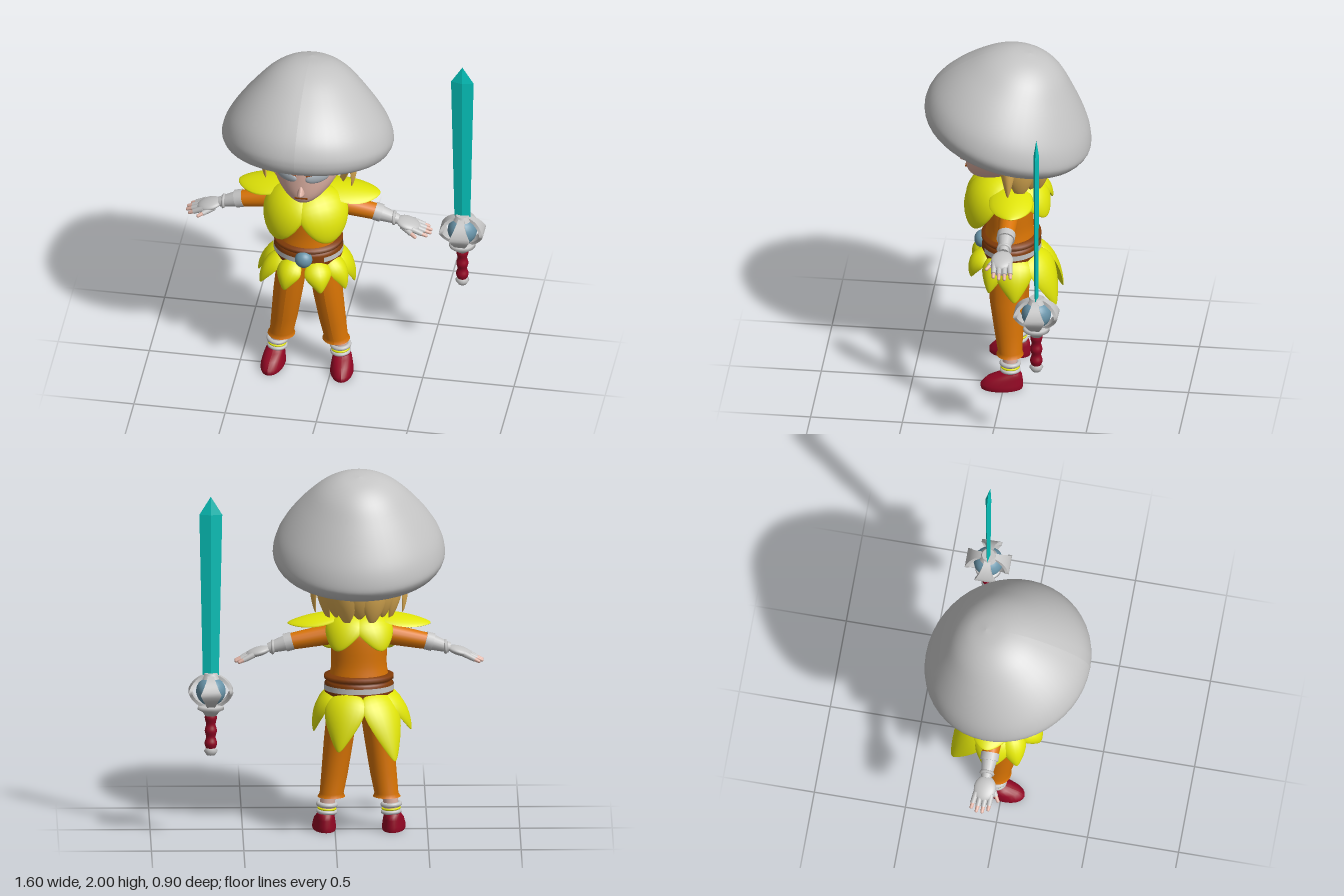
import * as THREE from 'three';

const mat = (name, color, side = THREE.FrontSide) => {
  const m = new THREE.MeshStandardMaterial({ color, side });
  m.name = name;
  return m;
};
const V = (x, y, z) => new THREE.Vector3(x, y, z);

export function createModel() {
  const grey = mat('light grey', 0xc4c4c4, THREE.DoubleSide);
  const skin = mat('skin', 0xdfb2a4), hair = mat('blond', 0xdeae54);
  const yellow = mat('petal yellow', 0xe0e408), orange = mat('suit orange', 0xd97404);
  const brown = mat('belt brown', 0x823c08), red = mat('dark red', 0x930724);
  const cyan = mat('blade cyan', 0x04c2ba), blue = mat('steel blue', 0x6a95aa);
  const eyeGrey = mat('eye grey', 0xa9b2ba);
  cyan.flatShading = true;

  const model = new THREE.Group();
  const body = new THREE.Group();
  body.name = 'figure';
  body.position.x = -0.13;
  const sword = new THREE.Group();
  sword.name = 'sword';
  sword.position.set(0.675, 0, -0.25);
  model.add(body, sword);

  const add = (parent, name, geo, material, pos = [0, 0, 0], rot = [0, 0, 0], scale = [1, 1, 1]) => {
    const m = new THREE.Mesh(geo, material);
    m.name = name;
    m.position.set(...pos);
    m.rotation.set(...rot);
    m.scale.set(...scale);
    parent.add(m);
    return m;
  };
  // Move every vertex by a rule
  const reshape = (g, rule) => {
    const p = g.attributes.position;
    for (let i = 0; i < p.count; i++) p.setXYZ(i, ...rule(p.getX(i), p.getY(i), p.getZ(i)));
    g.computeVertexNormals();
    return g;
  };
  const ball = (parent, name, material, pos, scale, rot) =>
    add(parent, name, new THREE.SphereGeometry(1, 24, 16), material, pos, rot, scale);
  const lathe = (pts, smooth = 0, seg = 40) => {
    let p = pts.map(([r, y]) => new THREE.Vector2(r, y));
    if (smooth) p = new THREE.SplineCurve(p).getPoints(smooth).map(q => q.setX(Math.max(q.x, 0)));
    return new THREE.LatheGeometry(p, seg);
  };
  // Tapered round bar between two points
  const limb = (parent, name, material, a, b, r1, r2) => {
    const p = V(...a), d = V(...b).sub(p);
    const m = add(parent, name, new THREE.CylinderGeometry(r2, r1, d.length(), 16), material);
    m.position.copy(p).addScaledVector(d, 0.5);
    m.quaternion.setFromUnitVectors(V(0, 1, 0), d.normalize());
  };
  // Elliptic rings [x, y, z, rx, rz], listed from top to bottom
  const loft = rings => {
    const n = rings.length - 1;
    return reshape(new THREE.CylinderGeometry(1, 1, 1, 24, n), (px, py, pz) => {
      const [x, y, z, rx, rz] = rings[Math.round((0.5 - py) * n)];
      return [x + px * rx, y, z + pz * rz];
    });
  };
  // Puffy leaf following a bent path of (radius, height), turned by yaw about the body
  const petal = (parent, name, material, yaw, path, w, { th = 0.02, cup = 0.03, point = 0, z = -0.02 } = {}) => {
    const curve = new THREE.QuadraticBezierCurve(...path.map(([r, y]) => new THREE.Vector2(r, y)));
    const g = reshape(new THREE.SphereGeometry(1, 20, 18), (x, y, pz) => {
      const t = (1 - y) / 2, c = curve.getPoint(t), d = curve.getTangent(t);
      const out = pz * th - cup * x * x;
      return [x * w * (1 - point * t ** 3), c.y + d.x * out, c.x - d.y * out];
    });
    return add(parent, name, g, material, [0, 0, z], [0, yaw, 0]);
  };

  // Mushroom hat, tipped back, its dome leaning slightly forward
  const hatGeo = reshape(lathe([[0, 0.08], [0.24, 0.04], [0.34, -0.045], [0.385, -0.078], [0.43, -0.064], [0.46, -0.02],
    [0.465, 0.03], [0.44, 0.11], [0.385, 0.2], [0.305, 0.3], [0.21, 0.395], [0.11, 0.45], [0, 0.468]], 60, 48),
  (x, y, z) => [x, y, z + 0.02 * Math.sin(Math.PI * Math.min(1, Math.max(0, y / 0.468)))]);
  add(body, 'hat', hatGeo, grey, [0, 1.535, 0], [-0.265, 0, 0]);

  // Head narrowing to a forward chin
  const headGeo = reshape(new THREE.SphereGeometry(1, 36, 28), (x, y, z) => {
    const k = Math.max(0, -y) ** 2;
    return [x * 0.19 * (1 - 0.2 * k), 1.42 + y * 0.207, z * 0.21 + 0.02 + 0.11 * k];
  });
  add(body, 'head', headGeo, skin);
  add(body, 'nose', loft([[0, 1.385, 0.2, 0.01, 0.015], [0, 1.34, 0.218, 0.014, 0.024], [0, 1.318, 0.228, 0.02, 0.035],
    [0, 1.306, 0.228, 0.02, 0.032], [0, 1.298, 0.22, 0.012, 0.018]]), skin);
  add(body, 'mouth', new THREE.BoxGeometry(0.07, 0.006, 0.009), brown, [0, 1.278, 0.223]);
  limb(body, 'neck', skin, [0, 1.12, -0.02], [0, 1.28, 0], 0.06, 0.06);
  for (const s of [-1, 1]) {
    ball(body, 'eye', eyeGrey, [s * 0.085, 1.413, 0.199], [0.068, 0.036, 0.018], [0, s * 0.46, s * 0.12]);
    ball(body, 'lash', brown, [s * 0.085, 1.443, 0.203], [0.068, 0.005, 0.012], [0, s * 0.46, s * 0.2]);
    ball(body, 'eyebrow', hair, [s * 0.095, 1.475, 0.193], [0.065, 0.013, 0.018], [0, s * 0.48, s * 0.32]);
    ball(body, 'ear', skin, [s * 0.222, 1.41, 0], [0.026, 0.08, 0.045], [0, 0, -s * 0.2]);
  }

  // Hair: cap, back mass, hanging locks and swept fringe
  add(body, 'hairCap', new THREE.SphereGeometry(0.23, 32, 12, 0, Math.PI * 2, 0, 1.25), hair, [0, 1.45, -0.03]);
  ball(body, 'backHair', hair, [0, 1.425, -0.07], [0.225, 0.225, 0.182]);
  for (let i = 0; i < 7; i++) {
    const a = 1.95 + i * (Math.PI * 2 - 3.9) / 6;
    petal(body, 'backLock', hair, a, [[0.14, 1.62], [0.3, 1.45], [0.175, 1.18 + 0.03 * (i % 2)]], 0.105,
      { th: 0.016, cup: 0.02, point: 0.4 });
  }
  for (const s of [-1, 1]) {
    petal(body, 'sideLock', hair, s * 1.6, [[0.15, 1.62], [0.3, 1.48], [0.235, 1.21]], 0.055, { th: 0.014, point: 0.6 });
    petal(body, 'templeLock', hair, s * 1.1, [[0.16, 1.62], [0.25, 1.54], [0.23, 1.38]], 0.045, { th: 0.01, point: 0.8, z: 0 });
  }
  [[-0.72, 1.45, 0.35], [-0.25, 1.49, 0.25], [0.2, 1.47, -0.2], [0.7, 1.45, -0.35]].forEach(([a, y, roll]) => {
    const lock = petal(body, 'fringe', hair, a, [[0.14, 1.64], [0.25, 1.61], [0.248, y]], 0.115,
      { th: 0.012, cup: 0.025, point: 0.9, z: 0 });
    // Sweep the tip sideways
    reshape(lock.geometry, (x, py, pz) => [x + roll * (1.56 - py), py, pz]);
  });
  petal(body, 'forelock', hair, 0.1, [[0.14, 1.63], [0.29, 1.63], [0.31, 1.51]], 0.04, { th: 0.012, point: 0.8, z: 0 });

  // Torso and belt
  add(body, 'torso', lathe([[0, 0.7], [0.1, 0.71], [0.165, 0.77], [0.16, 0.85], [0.15, 0.93], [0.152, 1.05],
    [0.14, 1.12], [0.07, 1.18], [0, 1.19]], 30), orange, [0, 0, -0.012], [0, 0, 0], [1, 1, 0.84]);
  const oval = [1, 1, 0.86];
  add(body, 'belt', lathe([[0.15, 0.752], [0.182, 0.755], [0.186, 0.765], [0.186, 0.825], [0.172, 0.832], [0.172, 0.843],
    [0.188, 0.848], [0.188, 0.868], [0.15, 0.874]]), brown, [0, 0, -0.02], [0, 0, 0], oval);
  add(body, 'beltStripe', new THREE.CylinderGeometry(0.19, 0.19, 0.03, 40, 1, true, 0.6, Math.PI * 2 - 0.85),
    grey, [0, 0.802, -0.02], [0, 0, 0], oval);
  ball(body, 'buckle', blue, [0, 0.812, 0.14], [0.048, 0.048, 0.042]);

  // Petal collar
  for (const s of [-1, 1]) {
    petal(body, 'chestPetal', yellow, s * 0.64, [[0.05, 1.23], [0.24, 1.21], [0.245, 0.965]], 0.15, { th: 0.035 });
    petal(body, 'shoulderPetal', yellow, s * 1.68, [[0.06, 1.215], [0.25, 1.2], [0.39, 1.16]], 0.125, { th: 0.014, cup: 0.03, point: 0.3 });
    petal(body, 'backPetal', yellow, s * 2.6, [[0.06, 1.22], [0.2, 1.22], [0.235, 1.04]], 0.12, { point: 0.2 });
  }
  // Petal skirt: yaw, tip radius, tip height, half width
  [[-0.45, 0.23, 0.63, 0.08], [0.45, 0.23, 0.63, 0.08], [-1.15, 0.27, 0.6, 0.075], [1.15, 0.24, 0.6, 0.075],
    [-1.75, 0.285, 0.57, 0.11], [1.75, 0.25, 0.56, 0.11], [-2.5, 0.32, 0.44, 0.125], [2.72, 0.28, 0.49, 0.125]]
    .forEach(([a, r, y, w]) =>
      petal(body, 'skirtPetal', yellow, a, [[0.12, 0.79], [0.25, 0.76], [r, y]], w, { th: 0.015, point: 0.55 }));

  for (const s of [-1, 1]) {
    // Leg, anklets and shoe
    add(body, 'trouserLeg', loft([[s * 0.075, 0.79, -0.015, 0.085, 0.11], [s * 0.088, 0.68, -0.015, 0.084, 0.115],
      [s * 0.11, 0.5, -0.01, 0.08, 0.095], [s * 0.132, 0.32, -0.022, 0.072, 0.078], [s * 0.148, 0.21, -0.03, 0.065, 0.066],
      [s * 0.15, 0.19, -0.03, 0.075, 0.074]]), orange);
    limb(body, 'ankle', skin, [s * 0.178, 0.07, -0.035], [s * 0.165, 0.22, -0.03], 0.038, 0.042);
    for (const [y, r, m] of [[0.147, 0.013, grey], [0.124, 0.006, yellow], [0.107, 0.011, grey]])
      add(body, 'anklet', new THREE.TorusGeometry(0.046, r, 10, 28), m, [s * 0.174, y, -0.034], [Math.PI / 2, s * 0.06, 0]);
    add(body, 'shoe', loft([[0, 0.098, -0.035, 0.045, 0.05], [0, 0.085, -0.03, 0.05, 0.068], [0, 0.065, -0.005, 0.056, 0.097],
      [0, 0.03, 0.01, 0.062, 0.115], [0, 0.01, 0.01, 0.064, 0.115], [0, 0, 0.01, 0.06, 0.112]]),
      red, [s * 0.187, 0, 0], [0, s * 0.12, 0]);

    // Arm and glove
    ball(body, 'shoulder', orange, [s * 0.14, 1.1, -0.03], [0.062, 0.06, 0.06]);
    limb(body, 'sleeve', orange, [s * 0.14, 1.095, -0.03], [s * 0.38, 1.05, -0.035], 0.058, 0.045);
    limb(body, 'gloveCuff', grey, [s * 0.36, 1.056, -0.035], [s * 0.4, 1.045, -0.035], 0.05, 0.05);
    limb(body, 'gloveForearm', grey, [s * 0.39, 1.047, -0.035], [s * 0.49, 1.015, -0.035], 0.044, 0.028);
    add(body, 'wristRing', new THREE.TorusGeometry(0.032, 0.009, 8, 24), grey,
      [s * 0.468, 1.022, -0.035], [0, Math.PI / 2, -s * 0.3]);
    ball(body, 'palm', grey, [s * 0.545, 0.997, -0.033], [0.07, 0.024, 0.06], [0, 0, -s * 0.28]);
    for (let i = 0; i < 5; i++) {
      // The last digit is the thumb
      const thumb = i === 4, z = -0.075 + i * 0.027, e = -0.09 + i * 0.031;
      const a = thumb ? V(0.515, 0.995, -0.005) : V(0.57, 0.988, z);
      const b = thumb ? V(0.595, 0.965, 0.047) : V(i % 3 ? 0.665 : 0.648, 0.95, e);
      const c = a.clone().lerp(b, 0.72), at = v => [v.x * s, v.y, v.z];
      limb(body, 'gloveFinger', grey, at(a), at(c), 0.017, 0.014);
      limb(body, 'fingertip', skin, at(c), at(b), 0.011, 0.009);
      ball(body, 'fingerEnd', skin, at(b), [0.009, 0.009, 0.009]);
    }
  }

  // Sword blade with a diamond section
  const thin = [1, 1, 0.25];
  add(sword, 'blade', new THREE.CylinderGeometry(0.062, 0.043, 0.92, 4), cyan, [0, 1.35, 0], [0, 0, 0], thin);
  add(sword, 'bladeTip', new THREE.ConeGeometry(0.062, 0.1, 4), cyan, [0, 1.86, 0], [0, 0, 0], thin);
  // Orb caged by four ribs that flare at the middle
  ball(sword, 'orb', blue, [0, 0.83, 0], [0.08, 0.08, 0.08]);
  add(sword, 'topCollar', new THREE.CylinderGeometry(0.035, 0.05, 0.03, 16), grey, [0, 0.915, 0]);
  const rib = reshape(new THREE.BoxGeometry(2, 2, 0.018, 1, 20, 1), (x, y, z) => {
    const k = 1 - Math.abs(y), r = 0.088 + 0.024 * k * k + z;
    return [x * (0.016 + 0.04 * k ** 2), r * Math.sin(y * 1.4), r * Math.cos(y * 1.4)];
  });
  for (let i = 0; i < 4; i++) add(sword, 'guardRib', rib, grey, [0, 0.83, 0], [0, i * Math.PI / 2, 0]);
  add(sword, 'lowerCollar', lathe([[0, 0.69], [0.03, 0.692], [0.045, 0.715], [0.072, 0.73], [0.068, 0.75], [0, 0.76]]), grey);
  // Grip and pommel
  add(sword, 'grip', lathe([[0.025, 0.51], [0.034, 0.54], [0.026, 0.575], [0.033, 0.61], [0.026, 0.645], [0.033, 0.68],
    [0.03, 0.7]], 36, 24), red);
  add(sword, 'pommel', lathe([[0, 0.47], [0.024, 0.475], [0.038, 0.498], [0.026, 0.515], [0, 0.52]], 0, 16), grey);

  return model;
}
